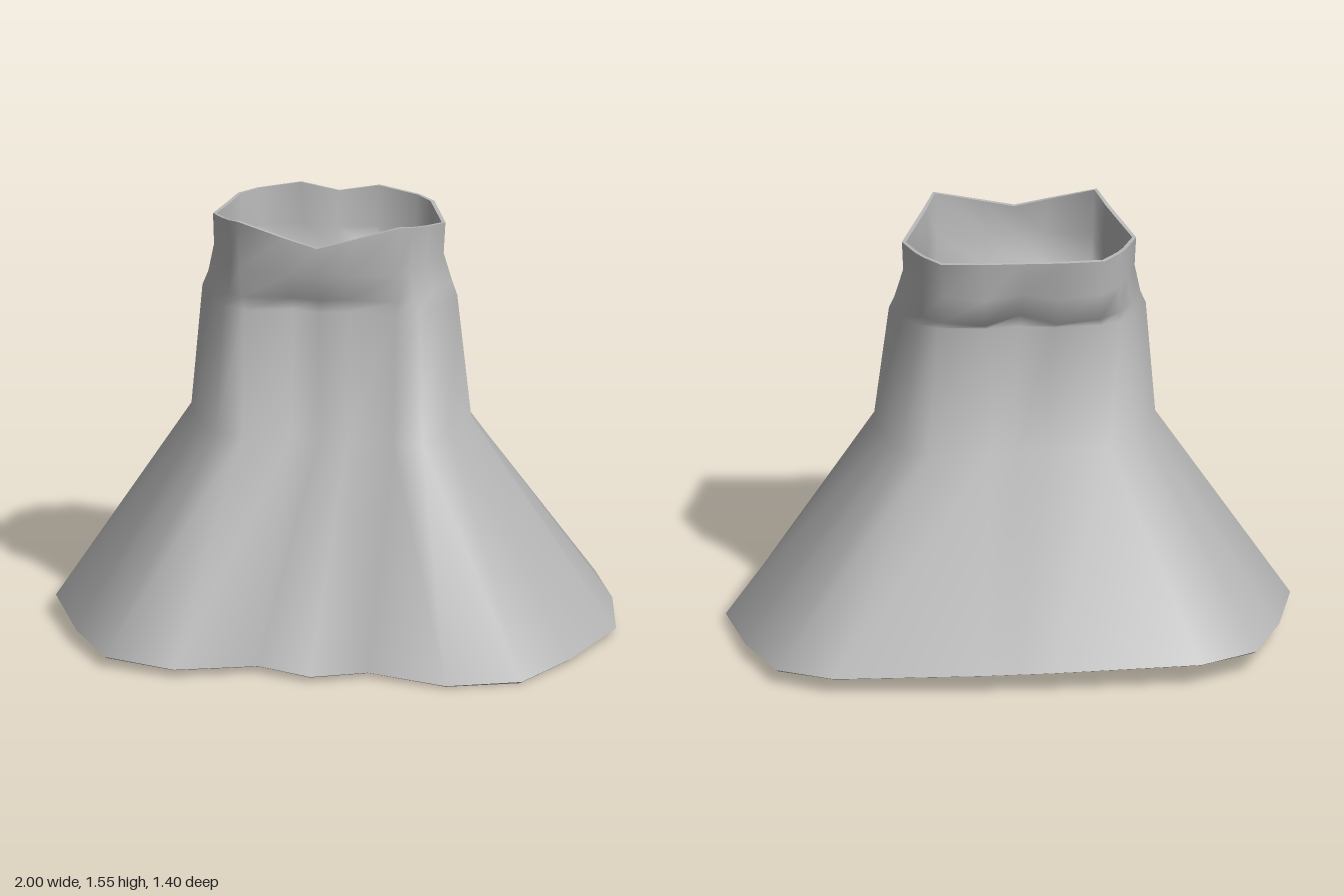
import * as THREE from 'three';

// Half cross-sections from front centre round the left side to back centre, as x, z pairs.
// cx: sideways centre of the ring; y(x, z, i): height of each point.
const topHeights = [1.47, 1.5, 1.545, 1.52, 1.5, 1.48, 1.49, 1.5, 1.5, 1.515, 1.5];
const rings = [
  { // hem
    cx: 0, y: (x, z) => 0.045 - 0.02 * x - 0.04 * z,
    half: [0, .685, .195, .605, .485, .695, .745, .605, .88, .35, 1, 0, .945, -.31, .85, -.57, .65, -.68, .12, -.705, 0, -.705],
  },
  { // hip
    cx: -0.02, y: (x) => 0.78 - 0.02 * x,
    half: [0, .33, .1, .28, .27, .34, .37, .3, .45, .17, .5, -.03, .46, -.18, .41, -.3, .32, -.35, .1, -.37, 0, -.36],
  },
  { // under the waistband
    cx: -0.03, y: () => 1.22,
    half: [0, .21, .1, .185, .27, .215, .35, .17, .41, .08, .455, -.06, .41, -.15, .36, -.22, .29, -.255, .12, -.27, 0, -.25],
  },
  { // waistband bottom, with two lobes at the back
    cx: -0.03, y: () => 1.27,
    half: [0, .225, .1, .205, .28, .22, .33, .16, .385, .07, .435, -.07, .4, -.18, .35, -.26, .28, -.32, .13, -.36, 0, -.27],
  },
  { // waistband middle
    cx: -0.035, y: () => 1.37,
    half: [0, .262, .1, .25, .28, .215, .32, .14, .365, .05, .41, -.07, .38, -.18, .35, -.26, .28, -.325, .13, -.37, 0, -.32],
  },
  { // waistband top
    cx: -0.035, y: (x, z, i) => topHeights[i],
    half: [0, .255, .12, .24, .29, .21, .33, .12, .37, .03, .415, -.08, .375, -.2, .35, -.265, .29, -.335, .14, -.38, 0, -.345],
  },
];
const SIDES = 20;
const THICKNESS = 0.014;

// Mirrors a half section into a full ring of points
function fullRing({ cx, y, half }) {
  return Array.from({ length: SIDES }, (_, k) => {
    const i = k <= 10 ? k : SIDES - k;
    const x = cx + (k <= 10 ? 1 : -1) * half[2 * i];
    const z = half[2 * i + 1];
    return new THREE.Vector3(x, y(x, z, i), z);
  });
}

// Joins closed rings into one smooth surface facing outward, or inward when flipped
function loft(loops, flip = false) {
  const positions = loops.flat().flatMap((p) => [p.x, p.y, p.z]);
  const index = [];
  for (let r = 0; r < loops.length - 1; r++) {
    for (let k = 0; k < SIDES; k++) {
      const a = r * SIDES + k;
      const b = r * SIDES + (k + 1) % SIDES;
      const c = b + SIDES;
      const d = a + SIDES;
      if (flip) index.push(a, c, b, a, d, c);
      else index.push(a, b, c, a, c, d);
    }
  }
  const geometry = new THREE.BufferGeometry();
  geometry.setAttribute('position', new THREE.Float32BufferAttribute(positions, 3));
  geometry.setIndex(index);
  geometry.computeVertexNormals();
  return geometry;
}

export function createModel() {
  const cloth = new THREE.MeshStandardMaterial({ color: 0xb8b8b8 });
  cloth.name = 'grey cloth';
  const group = new THREE.Group();
  group.name = 'flaredSkirt';

  const add = (name, geometry) => {
    const mesh = new THREE.Mesh(geometry, cloth);
    mesh.name = name;
    group.add(mesh);
  };

  // Outer cloth
  const outer = rings.map(fullRing);
  const outside = loft(outer);
  add('outerCloth', outside);

  // Lining, set inward along the outer normals
  const normals = outside.attributes.normal;
  const inner = outer.map((ring, r) => ring.map((p, k) => {
    const n = new THREE.Vector3().fromBufferAttribute(normals, r * SIDES + k);
    return p.clone().addScaledVector(n, -THICKNESS);
  }));
  add('lining', loft(inner, true));

  // Edges closing the cloth at hem and waist
  add('hemEdge', loft([inner[0], outer[0]]));
  add('waistEdge', loft([outer.at(-1), inner.at(-1)]));
  return group;
}
